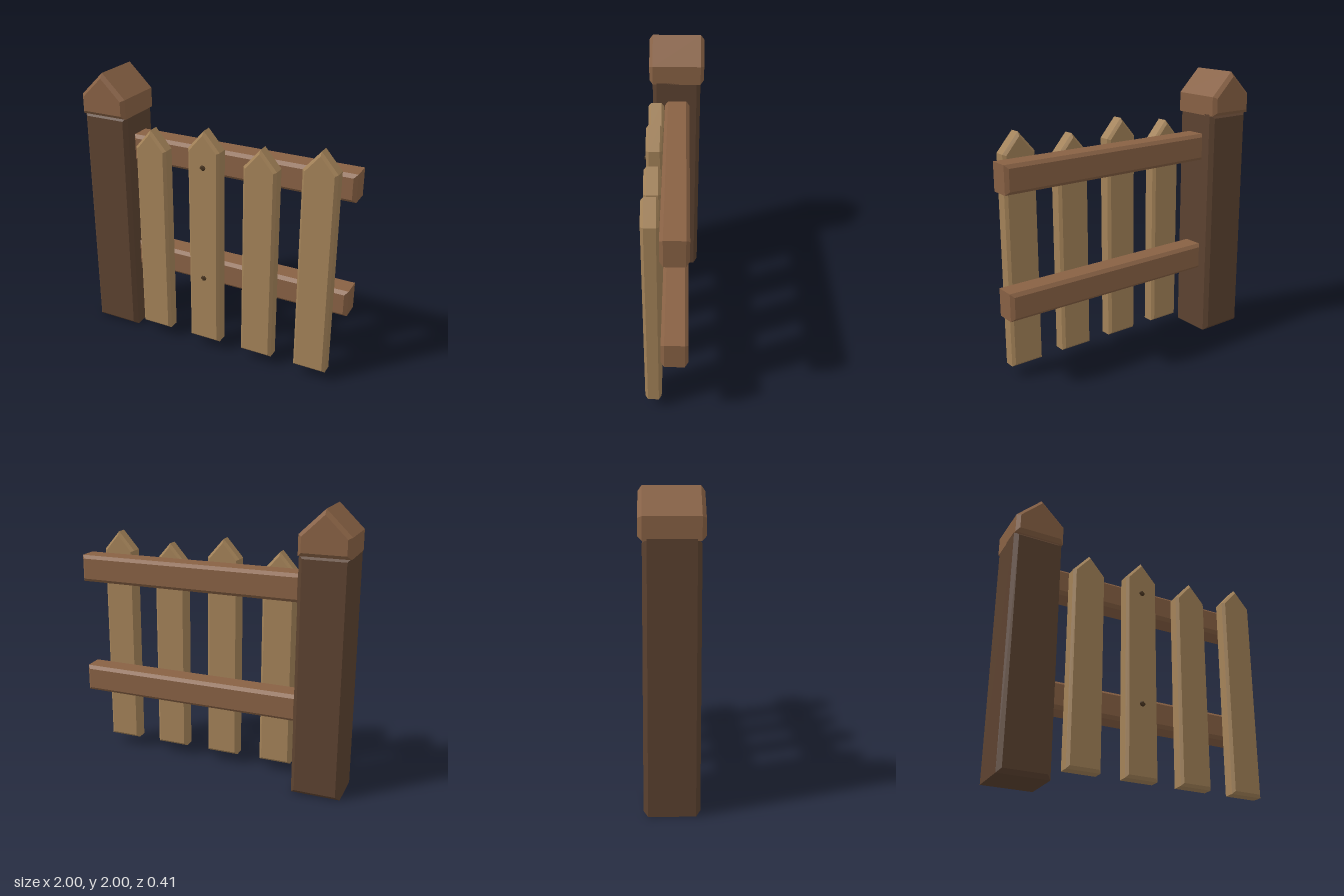
import * as THREE from 'three';

const mat = (name, color) => {
  const m = new THREE.MeshStandardMaterial({ color });
  m.name = name;
  return m;
};

// Board extruded along z from z0 to z1, with chamfered front and back edges.
// A shoulder height below the top gives the board a pointed top.
function board(name, material, [x0, x1], [y0, y1], [z0, z1], bevel, shoulder = y1) {
  const points = [[x0, y0], [x1, y0], [x1, shoulder]];
  if (shoulder < y1) points.push([(x0 + x1) / 2, y1]);
  points.push([x0, shoulder]);
  const shape = new THREE.Shape(points.map(([x, y]) => new THREE.Vector2(x, y)));
  const geometry = new THREE.ExtrudeGeometry(shape, {
    depth: z1 - z0 - 2 * bevel,
    bevelEnabled: true,
    bevelSegments: 1,
    bevelSize: bevel,
    bevelThickness: bevel,
    bevelOffset: -bevel,
  });
  geometry.translate(0, 0, z0 + bevel);
  const mesh = new THREE.Mesh(geometry, material);
  mesh.name = name;
  return mesh;
}

export function createModel() {
  const group = new THREE.Group();
  group.name = 'fence';
  const darkWood = mat('darkWood', 0x5c4230);
  const brownWood = mat('brownWood', 0x886144);
  const paleWood = mat('paleWood', 0xa38258);
  const iron = mat('iron', 0x46331f);

  // Post and its gabled cap
  group.add(board('post', darkWood, [-1, -0.65], [0, 1.7], [-0.18, 0.17], 0.028));
  group.add(board('postCap', brownWood, [-1, -0.65], [1.69, 2], [-0.205, 0.193], 0.025, 1.83));

  // Two horizontal rails
  for (const [name, y] of [['lowerRail', 0.505], ['upperRail', 1.357]]) {
    group.add(board(name, brownWood, [-0.655, 1], [y, y + 0.195], [-0.1, 0.08], 0.023));
  }

  // Pointed pickets, alternating in height
  [-0.447, -0.034, 0.379, 0.791].forEach((x, i) => {
    const top = i % 2 ? 1.71 : 1.65;
    group.add(board('picket' + (i + 1), paleWood, [x - 0.119, x + 0.119], [0.08, top],
      [0.08, 0.193], 0.019, top - 0.137));
  });

  // Nail heads on the second picket
  for (const [name, y] of [['lowerNail', 0.602], ['upperNail', 1.453]]) {
    const nail = new THREE.Mesh(new THREE.IcosahedronGeometry(0.025, 0), iron);
    nail.name = name;
    nail.position.set(-0.034, y, 0.185);
    group.add(nail);
  }
  return group;
}
